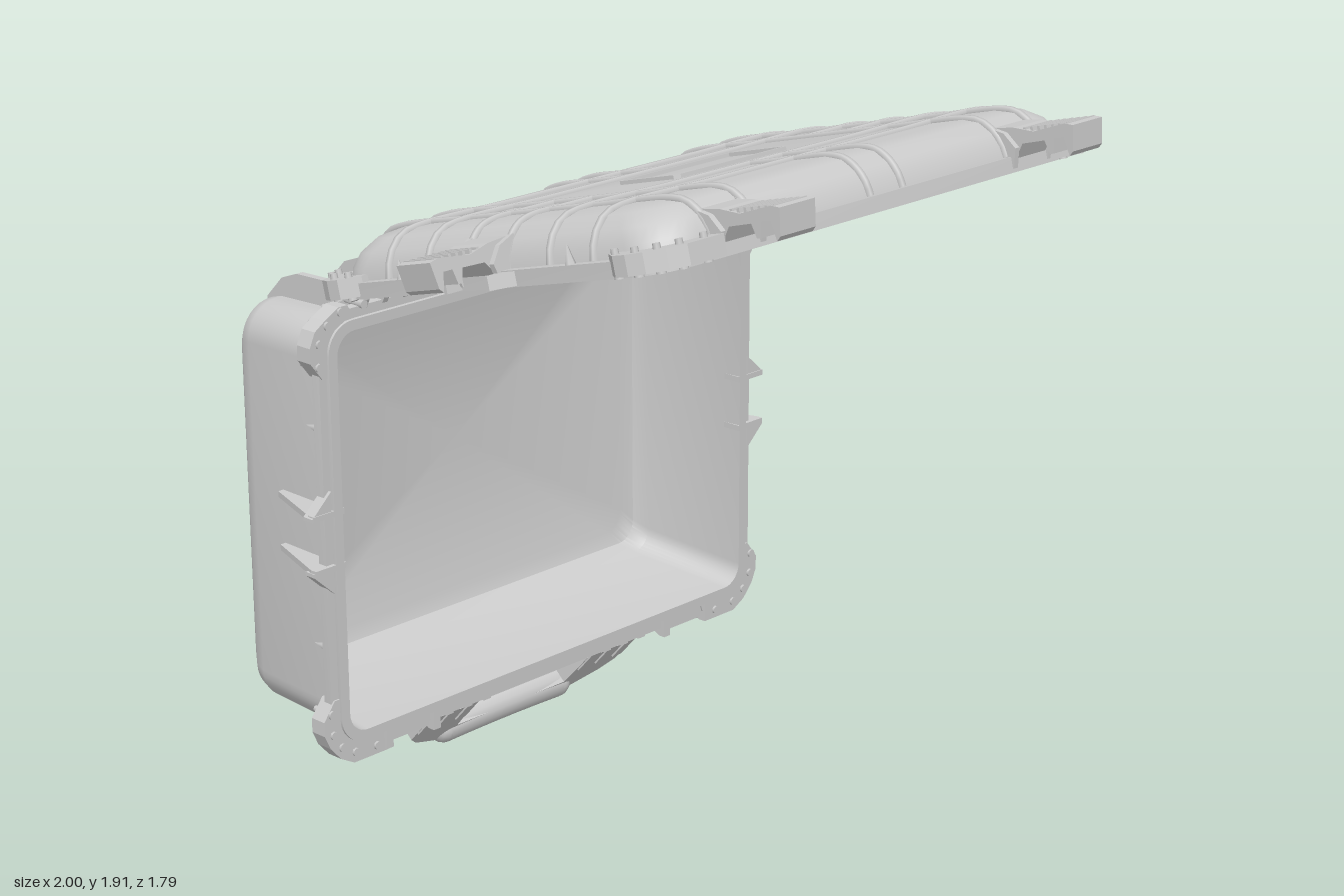
import * as THREE from 'three';
import { toCreasedNormals } from 'three/addons/utils/BufferGeometryUtils.js';

const grey = new THREE.MeshStandardMaterial({ color: 0xcccccc });
const SIDES = [-1, 1];

function add(parent, name, geo, x = 0, y = 0, z = 0) {
  const m = new THREE.Mesh(geo, grey);
  m.name = name;
  m.position.set(x, y, z);
  parent.add(m);
  return m;
}

// Closed shell through rounded-rectangle rings [halfX, halfZ, radius, y]
function shell(rings) {
  const pos = [], idx = [], seg = 8, n = 4 * (seg + 1);
  for (const [hx, hz, r, y] of rings) {
    for (let c = 0; c < 4; c++) {
      const sx = c === 0 || c === 3 ? 1 : -1, sz = c < 2 ? 1 : -1;
      for (let i = 0; i <= seg; i++) {
        const a = (c + i / seg) * Math.PI / 2;
        pos.push(sx * (hx - r) + r * Math.cos(a), y, sz * (hz - r) + r * Math.sin(a));
      }
    }
  }
  for (let j = 0; j < rings.length - 1; j++) {
    for (let i = 0; i < n; i++) {
      const a = j * n + i, b = j * n + (i + 1) % n;
      idx.push(a, a + n, b, b, a + n, b + n);
    }
  }
  const g = new THREE.BufferGeometry();
  g.setAttribute('position', new THREE.Float32BufferAttribute(pos, 3));
  g.setIndex(idx);
  g.computeVertexNormals();
  return toCreasedNormals(g, 0.6);
}

const toShape = (pts) => new THREE.Shape(pts.map(([x, y]) => new THREE.Vector2(x, y)));

// Outline in x,y with thickness centred along z
function slab(shape, t) {
  return new THREE.ExtrudeGeometry(shape, { depth: t, bevelEnabled: false, curveSegments: 8 }).translate(0, 0, -t / 2);
}
// Outline given in z,y, thin along x
const fin = (pts, t) => slab(toShape(pts), t).rotateY(-Math.PI / 2);
// Outline given in x,z, thin along y
const plate = (shape, t) => slab(shape, t).rotateX(Math.PI / 2);

// Corner bumpers, pegs and side gussets shared by both halves; latchSide is the z sign of the latch edge
function addRimParts(g, latchSide) {
  for (const sx of SIDES) {
    for (const sz of SIDES) {
      const latch = sz === latchSide;
      const x0 = latch ? 0.6 : 0.69, zm = latch ? 0.635 : 0.618;
      const pts = [[x0, 0.58], [x0 + 0.02, zm], [0.74, zm], [0.785, zm - 0.025], [0.82, 0.57], [0.838, 0.53],
        [0.838, 0.49], [0.8, 0.44], [0.78, 0.44], [0.78, 0.52], [0.755, 0.56], [0.72, 0.578]];
      add(g, 'cornerBumper', plate(toShape(pts.map(([x, z]) => [x * sx, z * sz])), 0.05), 0, 0.032, 0);
      // bolts around the corner
      for (const [x, z] of [[0.66, 0.61], [0.735, 0.605], [0.78, 0.578], [0.808, 0.535], [0.812, 0.475]]) {
        add(g, 'cornerBolt', new THREE.CylinderGeometry(0.009, 0.012, 0.07, 8), x * sx, 0.035, z * sz);
      }
      // flange ear beside the side latch
      const s = sz;
      add(g, 'sideEar', plate(toShape([[0.79 * sx, 0.07 * s], [0.855 * sx, 0.07 * s], [0.855 * sx, 0.08 * s], [0.79 * sx, 0.14 * s]]), 0.035), 0, 0.02, 0);
      add(g, 'rimPeg', new THREE.ConeGeometry(0.016, 0.06, 6), 0.79 * sx, 0.06, 0.3 * sz);
    }
  }
}

function buildBase() {
  const g = new THREE.Group();
  g.name = 'base';
  add(g, 'baseShell', shell([
    [0, 0, 0, 0.395], [0.66, 0.455, 0.06, 0.395], [0.7, 0.495, 0.06, 0.38], [0.725, 0.52, 0.06, 0.34],
    [0.755, 0.55, 0.06, 0], [0.783, 0.578, 0.08, 0], [0.783, 0.578, 0.08, 0.012], [0.807, 0.605, 0.1, 0.012],
    [0.807, 0.605, 0.1, 0.04], [0.772, 0.57, 0.1, 0.04], [0.765, 0.56, 0.1, 0.34], [0.757, 0.552, 0.1, 0.375],
    [0.735, 0.53, 0.1, 0.405], [0.705, 0.5, 0.1, 0.42], [0.675, 0.47, 0.1, 0.425], [0, 0, 0, 0.425]]));
  addRimParts(g, -1);
  for (const s of SIDES) {
    // fins on the side walls and oval feet
    for (const z of [-0.07, 0.078]) {
      add(g, 'sideFin', slab(toShape([[0.75 * s, 0], [0.852 * s, 0], [0.852 * s, 0.02], [0.785 * s, 0.22], [0.75 * s, 0.22]]), 0.016), 0, 0, z);
    }
    for (const z of [-0.305, 0.315]) {
      const foot = add(g, 'foot', new THREE.TorusGeometry(0.045, 0.014, 8, 24), 0.52 * s, 0.426, z);
      foot.rotation.x = Math.PI / 2;
      foot.scale.set(1, 0.75, 1);
    }
    // long hinge ribs on the upper wall
    for (const x of [0.42, 0.635]) {
      add(g, 'hingeRib', fin([[0.54, 0.03], [0.64, 0.02], [0.632, 0.28], [0.61, 0.34], [0.55, 0.4], [0.54, 0.4]], 0.022), x * s);
    }
    // short hinge knuckles
    for (let i = 0; i < 7; i++) {
      add(g, 'baseKnuckle', fin([[0.56, 0.03], [0.62, 0], [0.648, 0], [0.648, 0.05], [0.56, 0.14]], 0.018), s * (0.23 + i * 0.07));
    }
    add(g, 'hingePin', new THREE.CylinderGeometry(0.016, 0.016, 0.48, 12).rotateZ(Math.PI / 2), s * 0.45, 0.025, 0.632);
    // latch catch and handle mount fins on the lower wall
    for (const x of [0.45, 0.62]) {
      add(g, 'catchFin', fin([[-0.55, 0], [-0.63, 0], [-0.63, 0.02], [-0.55, 0.18]], 0.025), x * s);
    }
    add(g, 'catchBar', new THREE.BoxGeometry(0.15, 0.025, 0.03), 0.535 * s, 0.03, -0.605);
    for (const x of [0.235, 0.305, 0.375]) {
      add(g, 'handleMount', fin([[-0.55, 0.03], [-0.62, 0.03], [-0.625, 0.09], [-0.55, 0.19]], 0.026), x * s);
    }
  }
  add(g, 'pressureValve', new THREE.CylinderGeometry(0.04, 0.045, 0.025, 20).rotateX(Math.PI / 2), 0, 0.24, -0.57);
  return g;
}

// Lid wall contour: [inset, height]
const CONTOUR = [[0, 0.04], [0.006, 0.07], [0.025, 0.105], [0.06, 0.135], [0.11, 0.147]];
const LID_X = 0.775, LID_Z = 0.588;

// Piping over the lid from its edge to the distance "inner" from the middle
function rib(half, inner, place) {
  const pts = CONTOUR.map(([o, h]) => place(half - o, h));
  pts.push(place((half - 0.11 + inner) / 2, 0.147), place(inner, 0.147));
  return new THREE.TubeGeometry(new THREE.CatmullRomCurve3(pts), 24, 0.011, 6);
}

// Open latch reaching outward along +x from the wall
function buildLatch() {
  const g = new THREE.Group();
  g.name = 'latch';
  add(g, 'latchArm', slab(toShape([[-0.02, 0.03], [0.03, 0.03], [0.06, 0.068], [0.13, 0.07], [0.14, 0.035], [0.152, 0.035],
    [0.162, 0.072], [0.19, 0.072], [0.2, 0.025], [0.212, 0.035], [0.225, 0.1], [0.2, 0.106], [0.1, 0.095], [0.04, 0.11], [-0.02, 0.115]]), 0.12));
  for (let i = 0; i < 7; i++) add(g, 'latchGrip', new THREE.BoxGeometry(0.008, 0.014, 0.11), 0.07 + i * 0.022, 0.1, 0);
  for (const s of SIDES) {
    add(g, 'latchBracket', slab(toShape([[-0.02, 0.01], [0.035, 0.01], [0.05, 0.06], [0.02, 0.1], [-0.03, 0.12]]), 0.016), 0, 0, s * 0.07);
  }
  return g;
}

function buildLid() {
  const g = new THREE.Group();
  g.name = 'lid';
  add(g, 'lidShell', shell([
    [0, 0, 0, 0.122], [0.66, 0.475, 0.06, 0.122], [0.7, 0.515, 0.06, 0.105], [0.735, 0.54, 0.06, 0.06], [0.755, 0.555, 0.06, 0.012],
    [0.783, 0.578, 0.08, 0.012], [0.783, 0.578, 0.08, 0], [0.807, 0.607, 0.1, 0], [0.807, 0.607, 0.1, 0.04],
    ...CONTOUR.map(([o, h]) => [LID_X - o, LID_Z - o, 0.12, h]), [0, 0, 0, 0.147]]));
  addRimParts(g, 1);
  // raised ribs crossing the lid
  for (const s of SIDES) {
    const alongZ = (x) => (d, h) => new THREE.Vector3(x, h, d * s);
    const alongX = (z) => (d, h) => new THREE.Vector3(d * s, h, z);
    for (const t of SIDES) {
      for (const x of [0.465, 0.61]) add(g, 'longRib', rib(LID_Z, 0, alongZ(x * t)));
      add(g, 'shortRib', rib(LID_Z, 0.217, alongZ(0.06 * t)));
      for (const z of [0.217, 0.364]) add(g, 'crossRib', rib(LID_X, 0, alongX(z * t)));
      add(g, 'sideRib', rib(LID_X, 0.465, alongX(0.068 * t)));
    }
    // latches on the front edge and on each side
    const front = buildLatch();
    front.position.set(0.54 * s, 0, 0.575);
    front.rotation.y = -Math.PI / 2;
    const side = buildLatch();
    side.position.set(0.775 * s, 0, 0);
    side.rotation.y = s > 0 ? 0 : Math.PI;
    g.add(front, side);
    // hinge knuckles, taller ones in line with the base ribs
    for (let i = 0; i < 7; i++) {
      add(g, 'lidKnuckle', fin([[-0.56, 0.03], [-0.63, 0], [-0.645, 0.02], [-0.635, 0.045], [-0.56, 0.11]], 0.018), s * (0.195 + i * 0.07));
    }
  }
  // label frame
  const frame = toShape([[-0.195, -0.108], [0.195, -0.108], [0.208, -0.095], [0.208, 0.095], [0.195, 0.108], [-0.195, 0.108], [-0.208, 0.095], [-0.208, -0.095]]);
  frame.holes.push(toShape([[-0.195, -0.095], [-0.195, 0.095], [0.195, 0.095], [0.195, -0.095]]));
  add(g, 'labelFrame', plate(frame, 0.02), 0, 0.147, 0);
  return g;
}

function buildHandle() {
  const g = new THREE.Group();
  g.name = 'handle';
  // U-shaped yoke
  add(g, 'handleYoke', slab(toShape([[-0.4, -0.06], [-0.4, -0.16], [-0.36, -0.2], [-0.22, -0.265], [0.22, -0.265], [0.36, -0.2], [0.4, -0.16],
    [0.4, -0.06], [0.22, -0.06], [0.21, -0.19], [-0.21, -0.19], [-0.22, -0.06]]), 0.05));
  // padded grip, slightly bowed
  const bow = new THREE.QuadraticBezierCurve3(new THREE.Vector3(-0.22, -0.235, 0), new THREE.Vector3(0, -0.215, 0), new THREE.Vector3(0.22, -0.235, 0));
  add(g, 'handleGrip', new THREE.TubeGeometry(bow, 16, 0.045, 14));
  for (const s of SIDES) {
    add(g, 'gripEnd', new THREE.SphereGeometry(0.045, 14, 10), 0.22 * s, -0.235, 0);
    for (const x of [0.235, 0.305, 0.375]) {
      add(g, 'handleProng', new THREE.BoxGeometry(0.036, 0.13, 0.06), (x + 0.005) * s, -0.06, 0);
      add(g, 'prongEnd', new THREE.CylinderGeometry(0.032, 0.032, 0.036, 14).rotateZ(Math.PI / 2), (x + 0.005) * s, 0, 0);
    }
    add(g, 'handlePin', new THREE.CylinderGeometry(0.014, 0.014, 0.19, 10).rotateZ(Math.PI / 2), 0.307 * s, 0, 0);
  }
  return g;
}

export function createModel() {
  const model = new THREE.Group();
  model.name = 'openCase';
  // base stands upright with its opening to the front
  const base = buildBase();
  base.position.set(0, 0.825, -0.445);
  base.rotation.x = -Math.PI / 2;
  // lid swung up and forward
  const lid = buildLid();
  lid.position.set(0, 1.625, 0.15);
  lid.rotation.x = -0.253;
  const handle = buildHandle();
  handle.position.set(0, 0.23, -0.52);
  handle.rotation.x = 0.735;
  model.add(base, lid, handle);
  return model;
}
